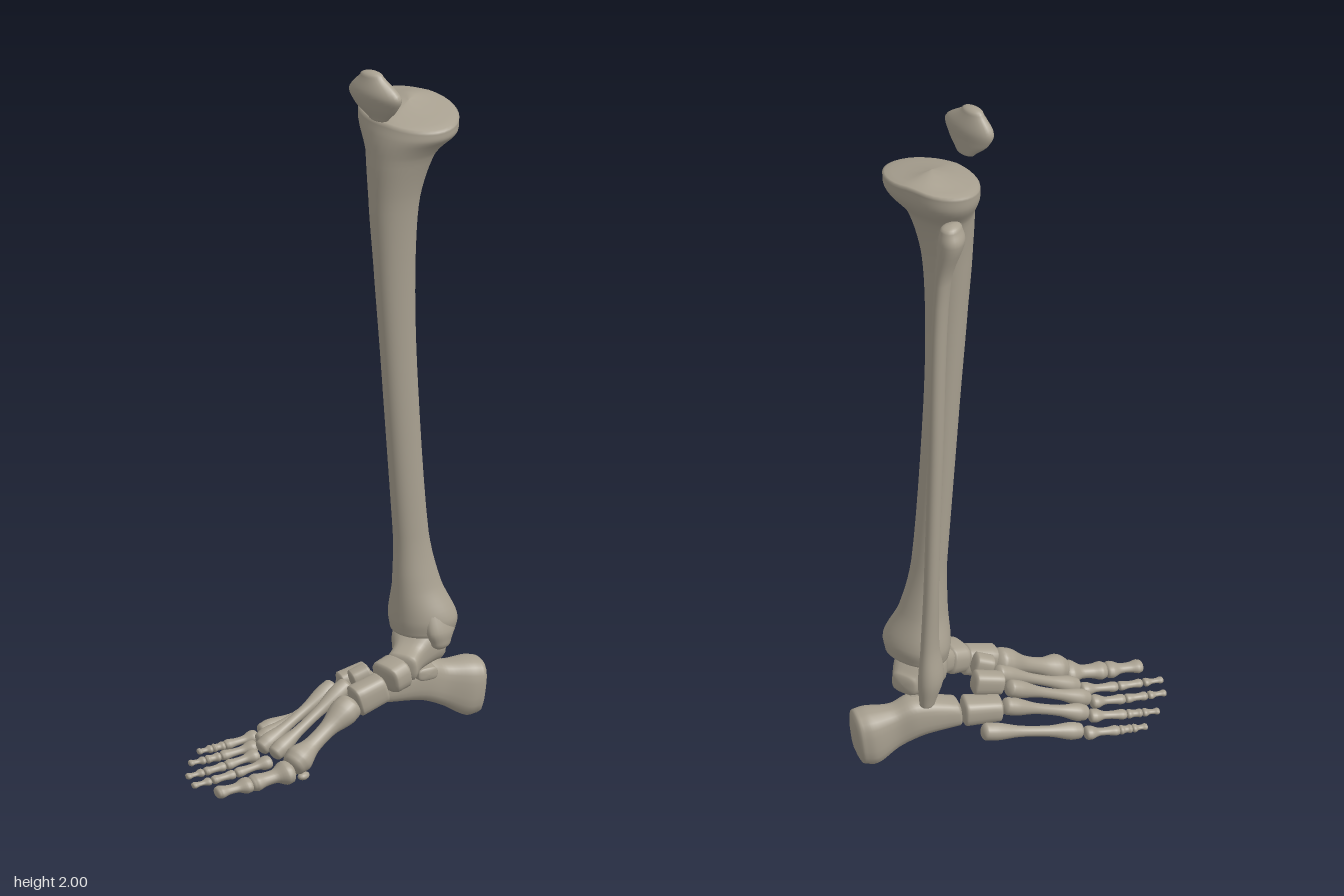
import * as THREE from 'three';
import { mergeVertices } from 'three/addons/utils/BufferGeometryUtils.js';

const bone = new THREE.MeshStandardMaterial({ color: 0xa8a090 });
bone.name = 'bone';
const round = () => 1;
// Slightly squared ring for the blocky ankle bones
const boxy = a => 1 / Math.pow(Math.cos(a) ** 4 + Math.sin(a) ** 4, 0.2);

// Closed loft through stations [x, y, z, half width, half height].
// shape(angle, t) scales the ring radius; cap is how far the ends bulge.
function loft(name, stations, { cap = 0.5, shape = round, steps = 6, sides = 24, vertical = false } = {}) {
  const pos = new THREE.CatmullRomCurve3(stations.map(s => new THREE.Vector3(s[0], s[1], s[2])));
  const size = new THREE.CatmullRomCurve3(stations.map((s, i) => new THREE.Vector3(s[3], s[4], i * 0.05)));
  const dir = vertical ? new THREE.Vector3(0, 1, 0) : pos.getPoint(1).sub(pos.getPoint(0)).normalize();
  const side = vertical ? new THREE.Vector3(1, 0, 0) : new THREE.Vector3(0, 1, 0).cross(dir).normalize();
  const up = dir.clone().cross(side);

  const rings = [];
  const addRing = (t, push, shrink) => {
    const s = size.getPoint(t);
    const c = pos.getPoint(t).addScaledVector(dir, push * Math.min(s.x, s.y) * cap);
    rings.push([c, s.x * shrink, s.y * shrink, t]);
  };
  const n = (stations.length - 1) * steps;
  const bulge = k => [Math.sin(k * Math.PI / 10), Math.max(Math.cos(k * Math.PI / 10), 0.001)];
  for (let k = 5; k > 0; k--) addRing(0, -bulge(k)[0], bulge(k)[1]);
  for (let i = 0; i <= n; i++) addRing(i / n, 0, 1);
  for (let k = 1; k <= 5; k++) addRing(1, ...bulge(k));

  const verts = [], index = [];
  for (const [c, w, h, t] of rings) {
    for (let j = 0; j < sides; j++) {
      const a = j / sides * Math.PI * 2, r = shape(a, t);
      const p = c.clone().addScaledVector(side, Math.cos(a) * w * r).addScaledVector(up, Math.sin(a) * h * r);
      verts.push(p.x, p.y, p.z);
    }
  }
  for (let i = 0; i < rings.length - 1; i++) {
    for (let j = 0; j < sides; j++) {
      const a = i * sides + j, b = i * sides + (j + 1) % sides;
      index.push(a, b, b + sides, a, b + sides, a + sides);
    }
  }
  const raw = new THREE.BufferGeometry();
  raw.setAttribute('position', new THREE.Float32BufferAttribute(verts, 3));
  raw.setIndex(index);
  const geo = mergeVertices(raw, 1e-5);
  geo.computeVertexNormals();
  const mesh = new THREE.Mesh(geo, bone);
  mesh.name = name;
  return mesh;
}

// Long foot bone between two points: wide base, slim shaft, knobbed head
function longBone(name, a, b, [base, waist, head], flat) {
  const at = (t, w) => [...a.clone().lerp(b, t).toArray(), w, w * flat];
  return loft(name, [at(0.04, base * 0.9), at(0.16, base * 0.9), at(0.38, waist),
    at(0.66, waist), at(0.86, head), at(0.95, head * 0.9)], { cap: 0.55, steps: 4, sides: 18 });
}

// Shin bone: kidney-shaped plateau, ridged shaft, flared ankle end
function createTibia() {
  const tibia = loft('tibia', [
    [0.14, 0.315, -0.23, 0.092, 0.078], [0.14, 0.36, -0.23, 0.098, 0.082], [0.132, 0.45, -0.216, 0.067, 0.066],
    [0.122, 0.6, -0.203, 0.048, 0.049], [0.103, 1.1, -0.175, 0.047, 0.052], [0.098, 1.4, -0.16, 0.055, 0.061],
    [0.1, 1.6, -0.156, 0.07, 0.072], [0.111, 1.73, -0.168, 0.098, 0.088],
    [0.12, 1.8, -0.193, 0.143, 0.109], [0.12, 1.845, -0.2, 0.148, 0.109]
  ], {
    vertical: true, cap: 0.12, sides: 40,
    shape: (a, t) => {
      const top = THREE.MathUtils.smoothstep(t, 0.75, 1);
      const back = Math.exp(-(((a - Math.PI * 0.55) / 0.35) ** 2));
      return 1 - 0.08 * top * back + 0.04 * (1 - top) * Math.sin(3 * a);
    }
  });
  // Tilt the plateau and raise the spine in its middle
  const p = tibia.geometry.attributes.position;
  for (let i = 0; i < p.count; i++) {
    const x = p.getX(i), y = p.getY(i), z = p.getZ(i);
    const k = THREE.MathUtils.smoothstep(y, 1.76, 1.85);
    const spine = Math.exp(-(((x - 0.1) / 0.04) ** 2) - ((z + 0.22) / 0.05) ** 2);
    p.setY(i, y + k * (0.014 * spine - 0.12 * (z + 0.2) - 0.14 * Math.max(x - 0.12, 0)));
  }
  tibia.geometry.computeVertexNormals();
  return tibia;
}

export function createModel() {
  const model = new THREE.Group();
  model.name = 'lowerLegSkeleton';
  model.add(createTibia());
  model.add(loft('innerAnkleKnob', [[0.215, 0.295, -0.215, 0.023, 0.035], [0.208, 0.33, -0.22, 0.032, 0.052],
    [0.19, 0.39, -0.22, 0.028, 0.045]], { vertical: true, cap: 0.9 }));

  // Calf bone
  model.add(loft('fibula', [
    [0.04, 0.225, -0.305, 0.018, 0.025], [0.036, 0.3, -0.295, 0.028, 0.042], [0.04, 0.4, -0.295, 0.02, 0.031],
    [0.033, 0.6, -0.297, 0.018, 0.024], [0.018, 1.0, -0.298, 0.018, 0.024], [-0.004, 1.6, -0.292, 0.018, 0.028],
    [-0.03, 1.74, -0.285, 0.034, 0.04], [-0.026, 1.78, -0.283, 0.026, 0.034]
  ], { vertical: true, cap: 0.6, shape: a => 1 + 0.05 * Math.sin(3 * a) }));

  // Kneecap
  model.add(loft('patella', [[0.115, 1.863, -0.065, 0.032, 0.016], [0.113, 1.9, -0.056, 0.068, 0.026],
    [0.113, 1.94, -0.051, 0.083, 0.032], [0.103, 1.988, -0.05, 0.036, 0.02]], { vertical: true, cap: 0.7 }));

  // Ankle and midfoot
  const block = (name, ...stations) => model.add(loft(name, stations, { shape: boxy, cap: 0.35 }));
  block('heelBone', [0.198, 0.098, -0.405, 0.054, 0.076], [0.178, 0.1, -0.378, 0.056, 0.08],
    [0.143, 0.118, -0.325, 0.041, 0.062], [0.112, 0.14, -0.275, 0.046, 0.058], [0.052, 0.132, -0.175, 0.04, 0.036]);
  block('heelShelf', [0.11, 0.185, -0.25, 0.035, 0.022], [0.17, 0.185, -0.22, 0.03, 0.018]);
  block('talus', [0.13, 0.245, -0.298, 0.04, 0.03], [0.13, 0.262, -0.26, 0.064, 0.052],
    [0.132, 0.27, -0.21, 0.068, 0.053], [0.142, 0.25, -0.165, 0.046, 0.04], [0.15, 0.236, -0.125, 0.046, 0.038]);
  block('navicular', [0.148, 0.23, -0.108, 0.052, 0.041], [0.138, 0.222, -0.068, 0.052, 0.039]);
  block('medialCuneiform', [0.132, 0.198, -0.048, 0.035, 0.041], [0.1, 0.176, 0.02, 0.035, 0.043]);
  block('middleCuneiform', [0.076, 0.218, -0.068, 0.027, 0.03], [0.053, 0.205, -0.035, 0.026, 0.028]);
  block('lateralCuneiform', [0.04, 0.195, -0.11, 0.028, 0.032], [0.004, 0.18, -0.05, 0.027, 0.03]);
  block('cuboid', [0.028, 0.137, -0.165, 0.041, 0.037], [-0.025, 0.132, -0.09, 0.037, 0.031]);

  // Toe rays: long bone from root to ball, then segments split along the line to the tip
  const radii = {
    metatarsal: [0.027, 0.0155, 0.0245], toeBase: [0.025, 0.0135, 0.017],
    toeMiddle: [0.017, 0.012, 0.0145], toeTip: [0.016, 0.009, 0.012]
  };
  const rays = [
    { root: [0.092, 0.168, 0.035], ball: [0.047, 0.052, 0.252], tip: [-0.066, 0.016, 0.445], split: 0.54, big: true },
    { root: [0.034, 0.19, -0.035], ball: [-0.038, 0.05, 0.222], tip: [-0.15, 0.013, 0.436], split: 0.46 },
    { root: [-0.018, 0.17, -0.045], ball: [-0.096, 0.046, 0.2], tip: [-0.198, 0.013, 0.394], split: 0.46 },
    { root: [-0.036, 0.138, -0.082], ball: [-0.135, 0.042, 0.15], tip: [-0.243, 0.013, 0.316], split: 0.54 },
    { root: [-0.036, 0.098, -0.17], ball: [-0.178, 0.036, 0.085], tip: [-0.268, 0.013, 0.238], split: 0.56 }
  ];
  rays.forEach(({ root, ball, tip, split, big }, i) => {
    const ray = new THREE.Group();
    ray.name = `toeRay${i + 1}`;
    const [r, b, t] = [root, ball, tip].map(v => new THREE.Vector3(...v));
    const add = (name, from, to, scale, flat) =>
      ray.add(longBone(name, from, to, radii[name].map(v => v * scale), flat));
    const along = k => b.clone().lerp(t, k).setY(THREE.MathUtils.lerp(b.y * 0.85, t.y, Math.sqrt(k)));
    add('metatarsal', r, b, big ? 1.6 : 1, 0.98);
    add('toeBase', along(0.03), along(split), big ? 1.75 : 1, 0.78);
    if (!big) add('toeMiddle', along(split + 0.02), along(0.75), 1, 0.78);
    add('toeTip', along(big ? split + 0.02 : 0.78), along(1), big ? 2 : 1, 0.7);
    model.add(ray);
  });

  // Two small pebble bones under the ball of the big toe
  for (const x of [0.03, 0.068]) {
    const pebble = new THREE.Mesh(new THREE.SphereGeometry(1, 16, 12), bone);
    pebble.name = 'sesamoid';
    pebble.scale.set(0.014, 0.011, 0.02);
    pebble.position.set(x, 0.021, 0.225);
    model.add(pebble);
  }
  return model;
}
